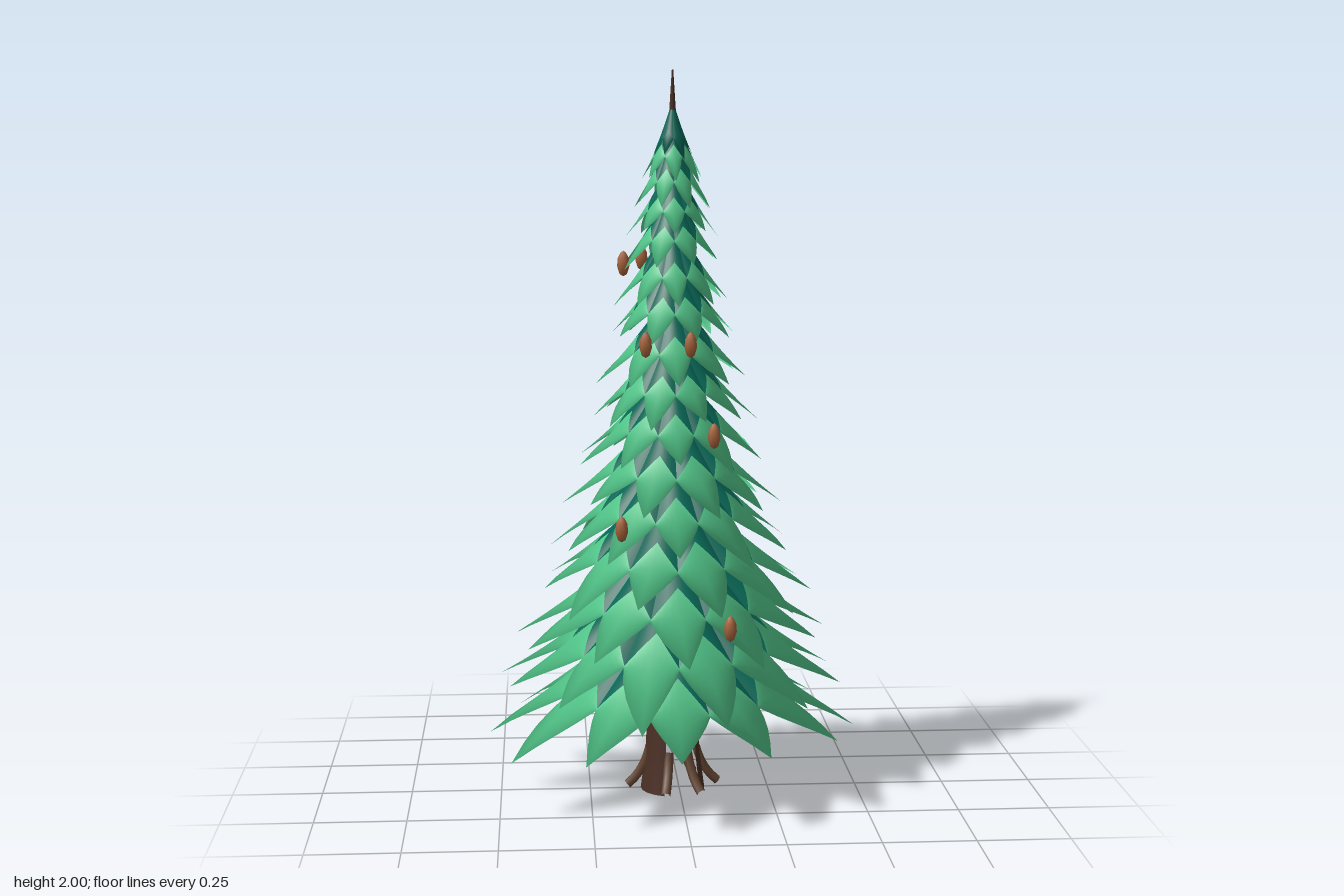
import * as THREE from 'three';
import { mergeGeometries } from 'three/addons/utils/BufferGeometryUtils.js';

const rad = THREE.MathUtils.degToRad;
const lerp = THREE.MathUtils.lerp;

function seeded(seed) {
  return () => {
    seed = (seed * 16807) % 2147483647;
    return seed / 2147483647;
  };
}

// Grid surface: point(s, u) with s running outwards and u running around.
// An optional normal(s, u) gives the surface soft foliage normals.
function surface(point, rows, cols, normal) {
  const pos = [], nor = [], index = [];
  for (let i = 0; i <= rows; i++)
    for (let j = 0; j <= cols; j++) {
      const s = i / rows, u = (j / cols) * 2 - 1;
      pos.push(...point(s, u));
      if (normal) nor.push(...normal(s, u));
    }
  for (let i = 0; i < rows; i++)
    for (let j = 0; j < cols; j++) {
      const a = i * (cols + 1) + j, b = a + cols + 1;
      index.push(a, b, b + 1, a, b + 1, a + 1);
    }
  const g = new THREE.BufferGeometry();
  g.setAttribute('position', new THREE.Float32BufferAttribute(pos, 3));
  g.setIndex(index);
  if (normal) {
    g.setAttribute('normal', new THREE.Float32BufferAttribute(nor, 3));
    g.normalizeNormals();
  } else g.computeVertexNormals();
  return g;
}

export function createModel() {
  const tree = new THREE.Group();
  tree.name = 'pineTree';
  const rand = seeded(4217);
  const material = (name, color, side = THREE.FrontSide) => {
    const m = new THREE.MeshStandardMaterial({ color, side });
    m.name = name;
    return m;
  };
  const needle = material('needleGreen', 0x55cc8e, THREE.DoubleSide);
  const shade = material('deepGreen', 0x076454, THREE.DoubleSide);
  const bark = material('bark', 0x4a2f24);
  const rootBark = material('rootBark', 0x614330);
  const coneBrown = material('coneBrown', 0xa5623a);
  const add = (name, geometry, mat, parent = tree) => {
    const mesh = new THREE.Mesh(geometry, mat);
    mesh.name = name;
    parent.add(mesh);
    return mesh;
  };
  const axis = -0.018;

  // Trunk: two bark shells with open panels at front and back, a base and a leader
  const trunk = new THREE.Group();
  trunk.name = 'trunk';
  trunk.position.x = axis;
  tree.add(trunk);
  const profile = [[0.09, 0], [0.077, 0.1], [0.066, 0.3], [0.042, 0.9], [0.016, 1.75]]
    .map(([r, y]) => new THREE.Vector2(r, y));
  for (const [from, to] of [[54, 160], [194, 342]])
    add('trunkShell', new THREE.LatheGeometry(profile, 8, rad(from), rad(to - from)), bark, trunk);
  add('trunkBase', new THREE.CircleGeometry(0.09, 16).rotateX(Math.PI / 2), bark, trunk);
  add('leader', new THREE.CylinderGeometry(0.002, 0.018, 0.25, 8).translate(0, 1.875, 0), bark, trunk);

  // Roots: short curved spurs flaring from the base
  for (const deg of [-12, 35, 95, 150, 215, 275]) {
    const a = rad(deg);
    const [top, bend, toe] = [[0.066, 0.12], [0.082, 0.05], [0.128, 0.014]]
      .map(([r, y]) => new THREE.Vector3(Math.sin(a) * r, y, Math.cos(a) * r));
    const path = new THREE.QuadraticBezierCurve3(top, bend, toe);
    add('root', new THREE.TubeGeometry(path, 5, 0.013, 6), rootBark, trunk);
  }

  // Branch tiers: star-shaped skirts of petals, [tip height, tip radius]
  const tiers = [
    [0.19, 0.5], [0.32, 0.47], [0.45, 0.42], [0.58, 0.38], [0.71, 0.33], [0.83, 0.287],
    [0.95, 0.25], [1.06, 0.225], [1.17, 0.2], [1.28, 0.178], [1.38, 0.155], [1.48, 0.135],
    [1.56, 0.12], [1.64, 0.103], [1.71, 0.083], [1.77, 0.055],
  ];
  tiers.forEach(([tipY, R], k) => {
    const n = Math.round(12 - (5 * k) / 15);
    const drop = Math.min(0.15 + 0.48 * R, 1.92 - tipY);
    const valley = R * 0.63;
    const half = Math.PI / n;
    const greens = [], darks = [];
    for (let p = 0; p < n; p++) {
      const mid = ((p + (k % 2) / 2) / n) * Math.PI * 2;
      const tip = R * (0.94 + 0.14 * rand());
      const lift = (rand() - 0.5) * 0.06 * R;
      const skew = (rand() - 0.5) * 0.35 * half;
      const at = (r, u) => {
        const t = r / R, free = t * t * (1 - Math.abs(u));
        const a = mid + u * half + skew * free;
        const y = tipY + drop * (1 - 1.2 * t + 0.2 * t * t) - 0.09 * r * u * u + lift * free;
        return [Math.sin(a) * r, y, Math.cos(a) * r];
      };
      const outward = (s, u) => {
        const a = mid + u * half * 1.25;
        return [Math.sin(a), lerp(0.5, -0.25, s), Math.cos(a)];
      };
      const edge = (u) => lerp(tip, valley, Math.pow(Math.abs(u), 0.9));
      const border = (u) => lerp(R * 0.47, valley * 0.98, Math.abs(u));
      darks.push(surface((s, u) => at(lerp(0.004, border(u), s), u), 3, 8));
      greens.push(surface((s, u) => at(lerp(border(u), edge(u), s), u), 5, 8, outward));
    }
    const tier = new THREE.Group();
    tier.name = 'branchTier';
    tier.position.x = axis;
    tree.add(tier);
    const last = k === tiers.length - 1;
    add('innerNeedles', mergeGeometries(darks), shade, tier);
    add('needleTips', mergeGeometries(greens), last ? shade : needle, tier);
  });

  // Hanging cones
  const coneProfile = [[0, -0.036], [0.01, -0.03], [0.017, -0.008], [0.015, 0.014], [0.007, 0.029], [0, 0.034]]
    .map(([r, y]) => new THREE.Vector2(r, y));
  const coneGeometry = new THREE.LatheGeometry(coneProfile, 8);
  for (const spot of [
    [0.11, 0.55, 0.38], [-0.17, 0.8, 0.285], [0.08, 1.035, 0.21], [0.02, 1.275, 0.17],
    [-0.1, 1.275, 0.165], [-0.152, 1.48, -0.01], [-0.098, 1.49, -0.1], [0.02, 1.71, -0.035],
    [0.093, 0.575, -0.325],
  ]) add('cone', coneGeometry, coneBrown).position.set(...spot);

  return tree;
}
